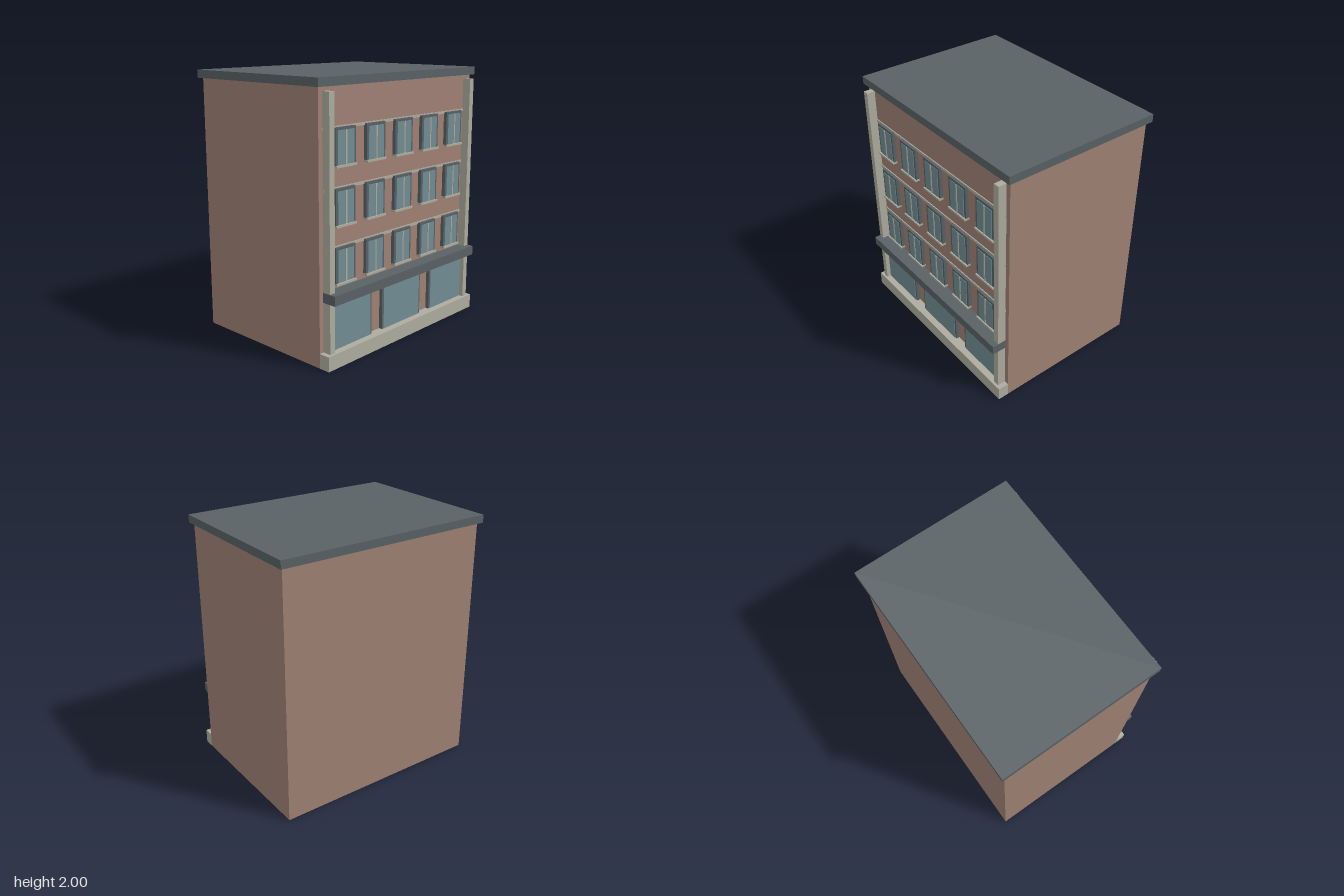
import * as THREE from 'three';

const material = (name, color) => {
  const m = new THREE.MeshStandardMaterial({ color });
  m.name = name;
  return m;
};

export function createModel() {
  const brick = material('brick', 0x9f8174);
  const stone = material('stone', 0xaeac9f);
  const slate = material('slate', 0x596165);
  const glass = material('glass', 0x718d94);

  const model = new THREE.Group();
  model.name = 'building';

  // Box from its lower and upper bounds on each axis
  const box = (parent, name, mat, [x0, x1], [y0, y1], [z0, z1]) => {
    const mesh = new THREE.Mesh(new THREE.BoxGeometry(x1 - x0, y1 - y0, z1 - z0), mat);
    mesh.position.set((x0 + x1) / 2, (y0 + y1) / 2, (z0 + z1) / 2);
    mesh.name = name;
    parent.add(mesh);
    return mesh;
  };

  const wallZ = 0.565; // face of the front wall

  // Main block, roof slab and stone base
  box(model, 'walls', brick, [-0.85, 0.85], [0, 1.94], [-0.645, wallZ]);
  box(model, 'roof', slate, [-0.877, 0.877], [1.94, 2], [-0.677, 0.594]);
  box(model, 'plinth', stone, [-0.85, 0.85], [0, 0.11], [wallZ, 0.65]);
  box(model, 'canopy', slate, [-0.817, 0.817], [0.475, 0.547], [wallZ, 0.678]);

  // Corner pilasters
  for (const s of [-1, 1]) {
    const x = s * 0.79;
    box(model, 'pilaster', stone, [x - 0.024, x + 0.024], [0.11, 1.91], [wallZ, 0.63]);
  }

  // Upper storeys: a string course and five windows each
  for (const y of [0.58, 0.992, 1.404]) {
    box(model, 'stringCourse', stone, [-0.817, 0.817], [y + 0.25, y + 0.27], [wallZ, 0.572]);
    for (let i = -2; i <= 2; i++) {
      const w = new THREE.Group();
      w.name = 'window';
      w.position.x = i * 0.309;
      model.add(w);
      box(w, 'windowFrame', slate, [-0.098, 0.098], [y, y + 0.262], [wallZ, 0.592]);
      box(w, 'windowPane', glass, [-0.079, 0.079], [y + 0.01, y + 0.243], [0.592, 0.596]);
      box(w, 'mullion', stone, [-0.006, 0.006], [y + 0.01, y + 0.243], [0.592, 0.6]);
      box(w, 'sill', stone, [-0.1, 0.1], [y - 0.007, y + 0.008], [wallZ, 0.605]);
    }
  }

  // Ground floor shop windows
  for (const x of [-0.57, 0, 0.57]) {
    box(model, 'shopFrame', slate, [x - 0.226, x + 0.226], [0.1, 0.462], [wallZ, 0.592]);
    box(model, 'shopPane', glass, [x - 0.21, x + 0.21], [0.105, 0.445], [0.592, 0.596]);
  }

  return model;
}
